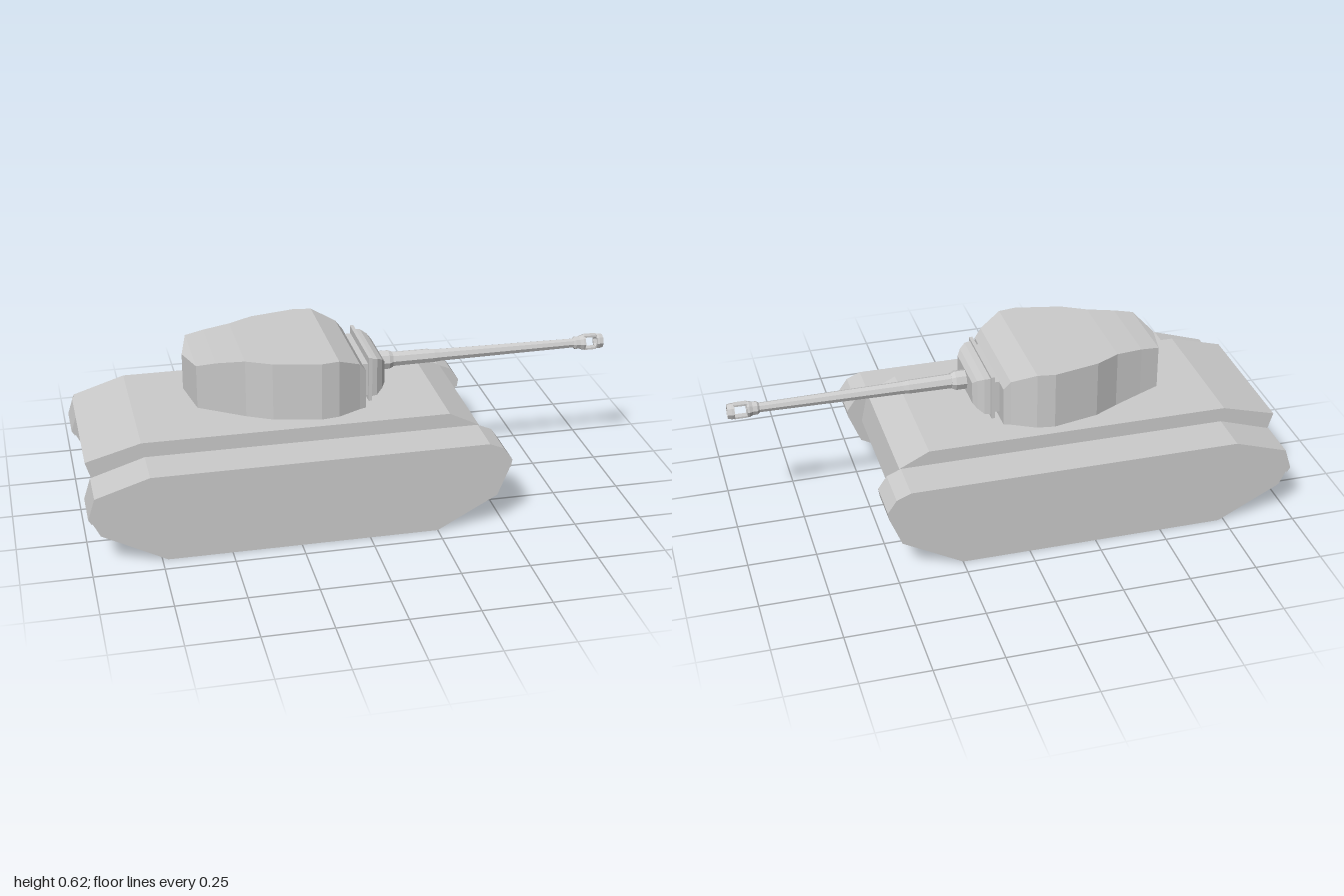
import * as THREE from 'three';

const mat = new THREE.MeshStandardMaterial({ color: 0xcccccc, flatShading: true, side: THREE.DoubleSide });

function add(parent, name, geometry, x = 0, y = 0, z = 0) {
  const mesh = new THREE.Mesh(geometry, mat);
  mesh.name = name;
  mesh.position.set(x, y, z);
  parent.add(mesh);
  return mesh;
}

// Side profile (x, y) extruded across z, centred on z = 0
function slab(points, width) {
  const shape = new THREE.Shape(points.map(([x, y]) => new THREE.Vector2(x, y)));
  const geometry = new THREE.ExtrudeGeometry(shape, { depth: width, bevelEnabled: false });
  return geometry.translate(0, 0, -width / 2);
}

// Rectangular sections along x, from rear to front: [x, half width, bottom, top]
function loft(stations) {
  const pos = [], idx = [];
  for (const [x, w, y0, y1] of stations) pos.push(x, y0, w, x, y0, -w, x, y1, -w, x, y1, w);
  const last = (stations.length - 1) * 4;
  for (let i = 0; i < last; i += 4) {
    for (let j = 0; j < 4; j++) {
      const a = i + j, b = i + (j + 1) % 4;
      idx.push(a, b, a + 4, b, b + 4, a + 4);
    }
  }
  idx.push(0, 2, 1, 0, 3, 2, last, last + 1, last + 2, last, last + 2, last + 3);
  const geometry = new THREE.BufferGeometry();
  geometry.setAttribute('position', new THREE.Float32BufferAttribute(pos, 3));
  geometry.setIndex(idx);
  geometry.computeVertexNormals();
  return geometry;
}

// Eight-sided turned part along x: [x, radius]
function turned(points) {
  const profile = points.map(([x, r]) => new THREE.Vector2(r, x));
  return new THREE.LatheGeometry(profile, 8).rotateX(0).rotateZ(-Math.PI / 2);
}

export function createModel() {
  const tank = new THREE.Group();
  tank.name = 'tank';

  // Hull
  add(tank, 'hull', slab([
    [0.26, 0.11], [0.465, 0.21], [0.44, 0.33], [0.33, 0.385], [-0.79, 0.385],
    [-0.99, 0.33], [-0.97, 0.265], [-0.96, 0.2], [-0.75, 0.11],
  ], 0.554));

  // Tracks and the fenders that cap them
  const track = slab([
    [0.25, 0], [0.47, 0.12], [0.515, 0.23], [0.512, 0.26], [0.48, 0.303], [0.43, 0.325],
    [-0.78, 0.325], [-0.97, 0.263], [-0.995, 0.19], [-0.96, 0.12], [-0.73, 0],
  ], 0.15);
  const fender = slab([
    [0.515, 0.23], [0.52, 0.26], [0.487, 0.308], [0.435, 0.33], [-0.78, 0.33],
    [-0.975, 0.268], [-1, 0.19], [-0.988, 0.17], [-0.95, 0.225], [-0.77, 0.285],
    [0.41, 0.285], [0.46, 0.265],
  ], 0.163);
  for (const [side, s] of [['left', 1], ['right', -1]]) {
    add(tank, side + 'Track', track, 0, 0, s * 0.36);
    add(tank, side + 'Fender', fender, 0, 0, s * 0.3585);
  }

  // Turret on its ring
  const turret = new THREE.Group();
  turret.name = 'turret';
  tank.add(turret);
  add(turret, 'turretRing', new THREE.CylinderGeometry(0.16, 0.16, 0.03, 8), -0.24, 0.395, 0);
  add(turret, 'turretBody', loft([
    [-0.602, 0, 0.455, 0.59], [-0.57, 0.145, 0.44, 0.602], [-0.5, 0.158, 0.425, 0.612],
    [-0.4, 0.18, 0.405, 0.619], [-0.31, 0.228, 0.405, 0.62], [-0.14, 0.265, 0.405, 0.62],
    [-0.075, 0.255, 0.405, 0.62], [0.01, 0.21, 0.405, 0.582], [0.035, 0.2, 0.405, 0.55],
  ]));

  // Gun mount: neck, shield plate and tapered mantlet
  add(turret, 'mantletNeck', loft([[0.02, 0.145, 0.428, 0.552], [0.06, 0.145, 0.428, 0.552]]));
  add(turret, 'shieldPlate', loft([[0.055, 0.158, 0.41, 0.58], [0.068, 0.158, 0.41, 0.58]]));
  add(turret, 'mantlet', loft([
    [0.066, 0.147, 0.422, 0.57], [0.09, 0.142, 0.424, 0.567],
    [0.112, 0.125, 0.44, 0.555], [0.126, 0.106, 0.455, 0.538],
  ]));

  // Gun
  const gun = new THREE.Group();
  gun.name = 'gun';
  gun.position.y = 0.497;
  turret.add(gun);
  add(gun, 'gunCollar', turned([[0.12, 0.037], [0.165, 0.037], [0.18, 0.03], [0.18, 0]]));
  add(gun, 'barrel', turned([
    [0.17, 0.028], [0.34, 0.026], [0.36, 0.024], [0.89, 0.018],
  ]));

  // Open-sided muzzle brake
  add(gun, 'muzzleRearRing', turned([
    [0.885, 0.018], [0.893, 0.025], [0.91, 0.025], [0.922, 0.03], [0.93, 0.03], [0.93, 0.014],
  ]));
  add(gun, 'muzzleFrontRing', turned([
    [0.975, 0.022], [0.975, 0.03], [0.985, 0.03], [1, 0.027], [1, 0.021], [0.975, 0.021],
  ]));
  for (const s of [1, -1]) {
    add(gun, 'muzzleBridge', new THREE.BoxGeometry(0.05, 0.007, 0.024), 0.952, s * 0.025, 0);
  }
  return tank;
}
